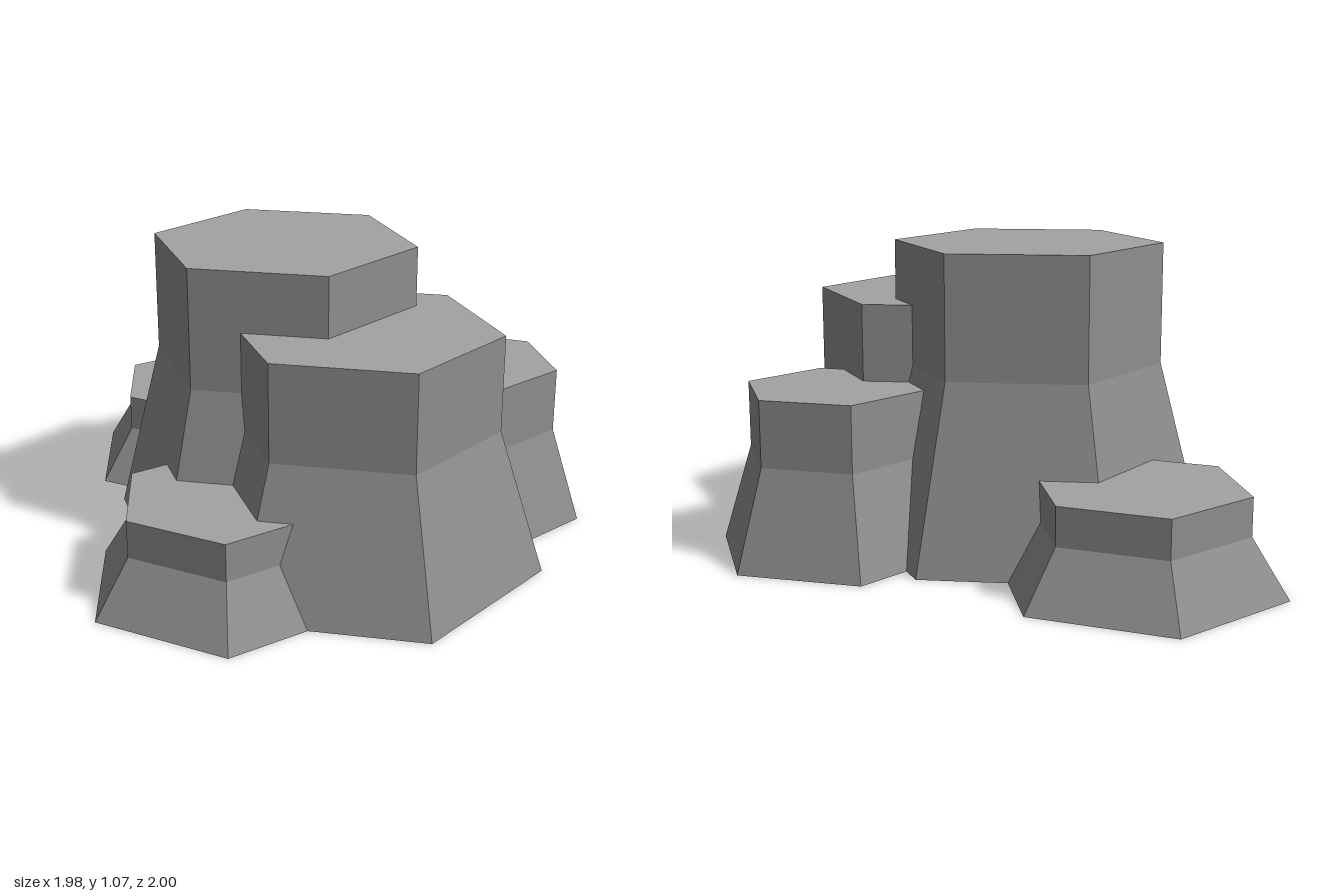
import * as THREE from 'three';

const FLARE = 1.35; // foot radius relative to the upright shaft

function facetedMesh(name, profile, start, color) {
  const points = profile.map(([r, y]) => new THREE.Vector2(r, y));
  const geometry = new THREE.LatheGeometry(points, 6, start);
  const mesh = new THREE.Mesh(geometry, new THREE.MeshStandardMaterial({ color, flatShading: true }));
  mesh.name = name;
  return mesh;
}

// Six-sided rock column: dark flared foot and upright shaft, lighter flat cap.
function column(name, x, z, radius, height, bend, turnDeg) {
  const start = THREE.MathUtils.degToRad(30 - turnDeg);
  const sides = [[0, 0], [radius * FLARE, 0], [radius, bend], [radius, height]];
  const cap = [[radius, height], [0, height]];
  const part = new THREE.Group();
  part.name = name;
  part.position.set(x, 0, z);
  part.add(
    facetedMesh('rockSides', sides, start, 0x8e8e8e),
    facetedMesh('rockCap', cap, start, 0xa2a2a2),
  );
  return part;
}

export function createModel() {
  const group = new THREE.Group();
  group.name = 'hexagonalRockColumns';
  group.add(
    column('tallColumn', -0.095, -0.03, 0.473, 1.065, 0.64, 0),
    column('frontColumn', 0.235, 0.235, 0.473, 0.853, 0.513, 0),
    column('backLeftColumn', 0.555, -0.26, 0.323, 0.58, 0.348, 8),
    column('backRightStep', -0.51, -0.523, 0.367, 0.33, 0.198, 15),
    column('frontRightStep', -0.185, 0.519, 0.367, 0.33, 0.198, 15),
  );
  return group;
}
